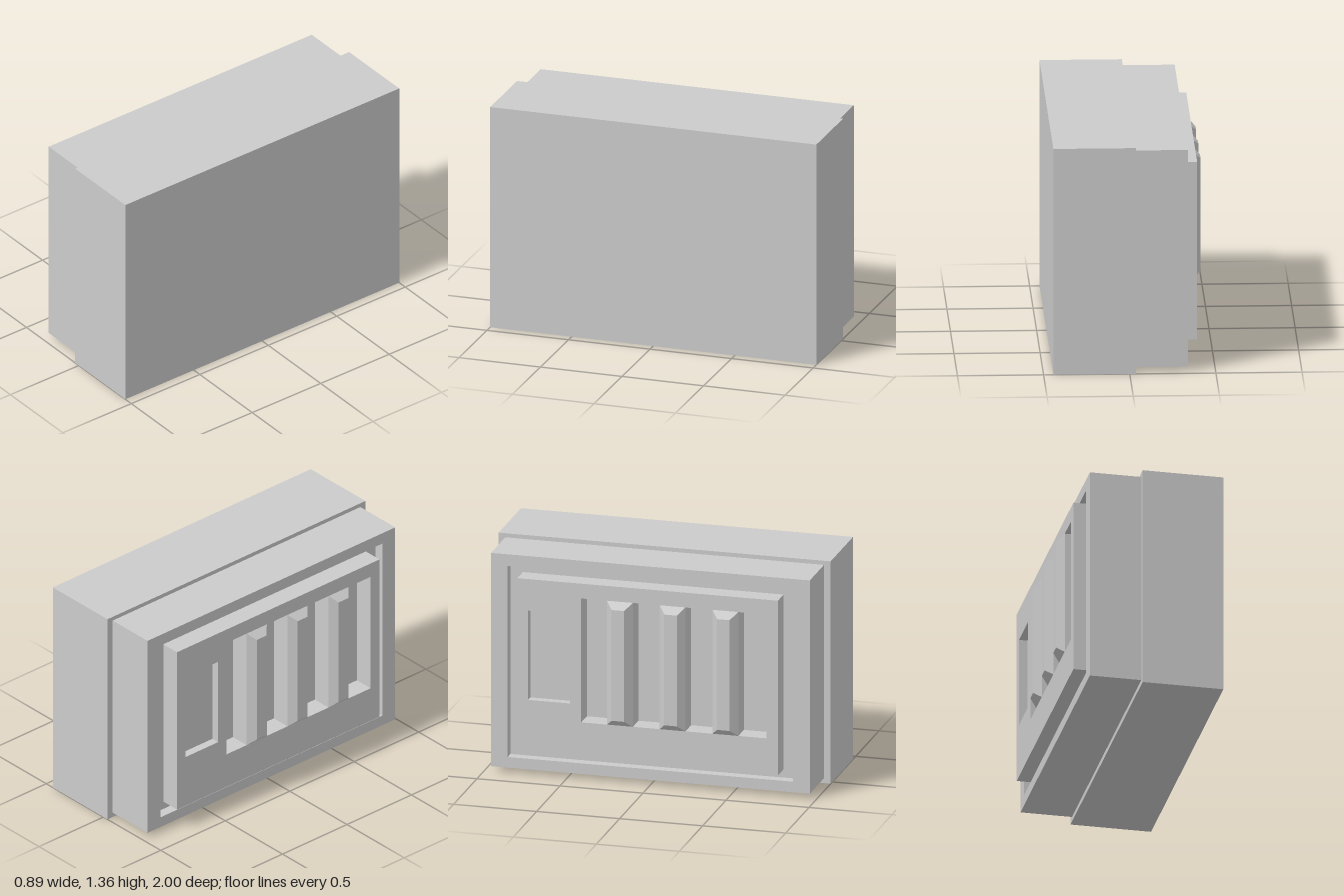
import * as THREE from 'three';

const material = new THREE.MeshStandardMaterial({ color: 0xcccccc, flatShading: true });

function add(group, name, geometry) {
  const mesh = new THREE.Mesh(geometry, material);
  mesh.name = name;
  group.add(mesh);
  return mesh;
}

// Box given by its limits on each axis
function block(group, name, [x0, x1], [y0, y1], [z0, z1]) {
  const mesh = add(group, name, new THREE.BoxGeometry(x1 - x0, y1 - y0, z1 - z0));
  mesh.position.set((x0 + x1) / 2, (y0 + y1) / 2, (z0 + z1) / 2);
  return mesh;
}

function trace(path, [z0, z1, y0, y1]) {
  path.moveTo(z0, y0).lineTo(z1, y0).lineTo(z1, y1).lineTo(z0, y1).closePath();
  return path;
}

// Upright plate in the z-y plane with rectangular openings, running from xBack out to xFace
function plate(group, name, outline, openings, xBack, xFace) {
  const shape = trace(new THREE.Shape(), outline);
  for (const o of openings) shape.holes.push(trace(new THREE.Path(), o));
  const geometry = new THREE.ExtrudeGeometry(shape, { depth: xBack - xFace, bevelEnabled: false });
  geometry.rotateY(-Math.PI / 2).translate(xBack, 0, 0);
  return add(group, name, geometry);
}

export function createModel() {
  const model = new THREE.Group();
  model.name = 'panelBox';

  const floorX = -0.28, rimX = -0.34, panelX = -0.4, ribX = -0.443;
  const rim = [-0.96, 0.96, 0.03, 1.33];
  const recess = [-0.86, 0.86, 0.095, 1.26];
  const smallWindow = [-0.72, -0.466, 0.474, 1.018];
  const largeWindow = [-0.4, 0.716, 0.365, 1.12];

  // Main housing and the slightly smaller block behind it
  block(model, 'housing', [-0.035, 0.443], [0, 1.355], [-1, 1]);
  block(model, 'innerBlock', [floorX, -0.035], [rim[2], rim[3]], [rim[0], rim[1]]);

  // Rim around the recess
  plate(model, 'rim', rim, [recess], floorX, rimX);

  // Raised panel with two windows
  plate(model, 'panel', [-0.785, 0.785, 0.145, 1.21], [smallWindow, largeWindow], floorX, panelX);
  block(model, 'smallWindowFloor', [floorX - 0.07, floorX],
    [smallWindow[2], smallWindow[3]], [smallWindow[0], smallWindow[1]]);

  // Ribs standing in the large window, each with a bevelled cap
  const half = 0.078, bevel = 0.04;
  for (const z of [-0.167, 0.15, 0.468]) {
    const rib = new THREE.Group();
    rib.name = 'rib';
    const span = [largeWindow[2], largeWindow[3]];
    block(rib, 'ribBody', [panelX, floorX], span, [z - half, z + half]);
    const cap = block(rib, 'ribCap', [ribX, panelX], span, [z - half, z + half]);
    const p = cap.geometry.attributes.position;
    for (let i = 0; i < p.count; i++) {
      if (p.getX(i) > 0) continue;
      p.setY(i, p.getY(i) - Math.sign(p.getY(i)) * bevel);
      p.setZ(i, p.getZ(i) - Math.sign(p.getZ(i)) * bevel);
    }
    cap.geometry.computeVertexNormals();
    model.add(rib);
  }
  return model;
}
